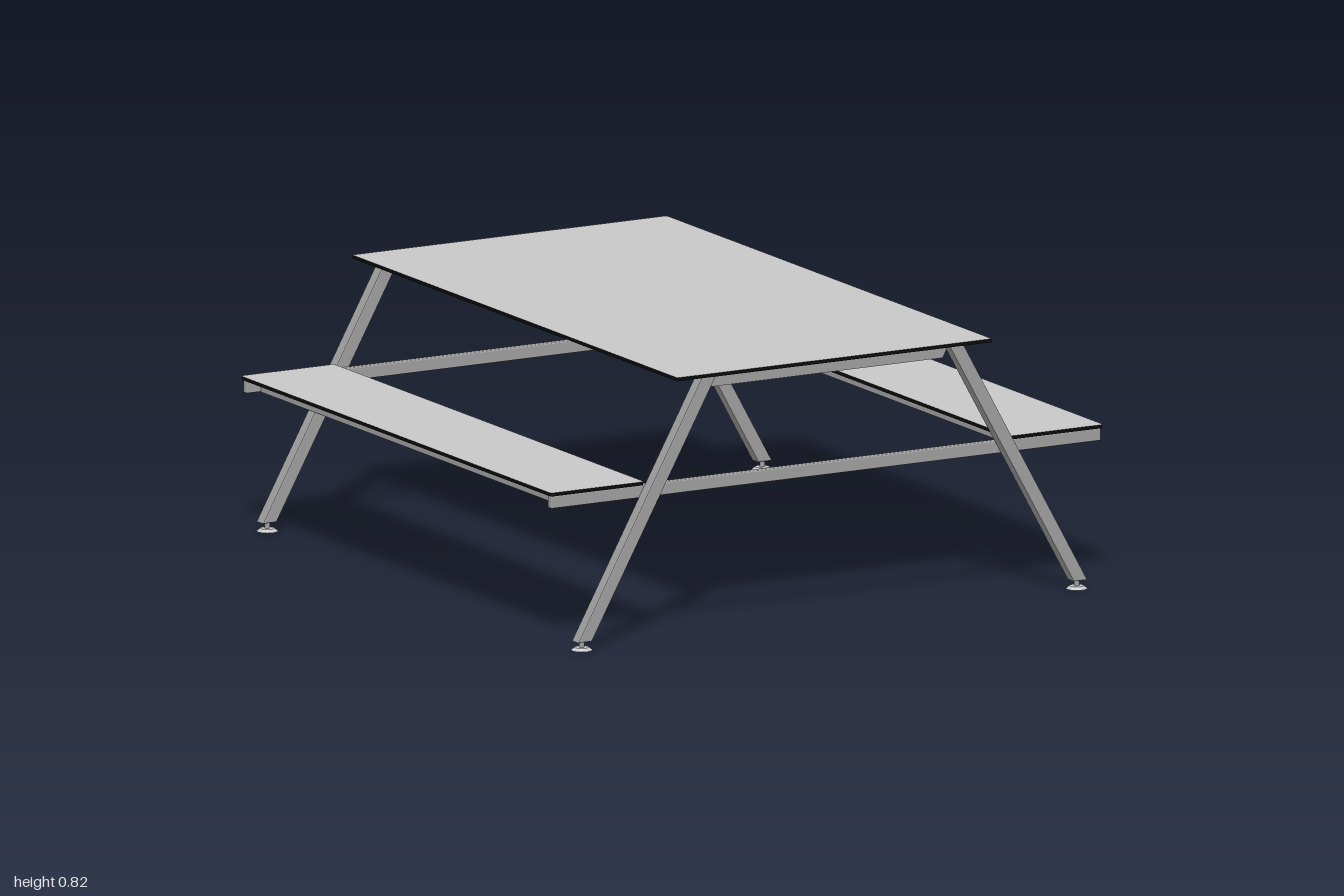
import * as THREE from 'three';
import { RoundedBoxGeometry } from 'three/addons/geometries/RoundedBoxGeometry.js';

const mat = (name, color) => {
  const m = new THREE.MeshStandardMaterial({ color });
  m.name = name;
  return m;
};

export function createModel() {
  const root = new THREE.Group();
  const panelGrey = mat('panel grey', 0xc8c8c8);
  const edgeBlack = mat('edge black', 0x0a0a0a);
  const frameGrey = mat('frame grey', 0xa0a0a0);

  const add = (name, geo, material, x = 0, y = 0, z = 0) => {
    const m = new THREE.Mesh(geo, material);
    m.name = name;
    m.position.set(x, y, z);
    root.add(m);
    return m;
  };

  // Thin laminate board: grey faces, black rim
  const board = (name, w, d, r, t, x, y) => {
    const a = w / 2, b = d / 2;
    const s = new THREE.Shape();
    s.moveTo(-a + r, -b);
    s.lineTo(a - r, -b); s.quadraticCurveTo(a, -b, a, -b + r);
    s.lineTo(a, b - r); s.quadraticCurveTo(a, b, a - r, b);
    s.lineTo(-a + r, b); s.quadraticCurveTo(-a, b, -a, b - r);
    s.lineTo(-a, -b + r); s.quadraticCurveTo(-a, -b, -a + r, -b);
    const g = new THREE.ExtrudeGeometry(s, { depth: t, bevelEnabled: false, curveSegments: 4 });
    g.rotateX(-Math.PI / 2);
    add(name, g, [panelGrey, edgeBlack], x, y, 0);
  };

  board('tableTop', 1.11, 2, 0.004, 0.011, 0, 0.813);
  for (const s of [-1, 1]) board('benchSeat', 0.33, 1.91, 0.014, 0.011, s * 0.81, 0.489);

  // Slanted leg, cut level at floor and table, with softened outer edges
  const leg = (side) => {
    const s = new THREE.Shape([
      [0.85, 0.028], [0.898, 0.028], [0.462, 0.813], [0.412, 0.813],
    ].map(([x, y]) => new THREE.Vector2(side * x, y)));
    const g = new THREE.ExtrudeGeometry(s, {
      depth: 0.034, bevelEnabled: true, bevelThickness: 0.004,
      bevelSize: 0.004, bevelOffset: -0.004, bevelSegments: 2,
    });
    return g.translate(0, 0, -0.017);
  };

  for (const end of [-1, 1]) {
    for (const side of [-1, 1]) {
      add('leg', leg(side), frameGrey, 0, 0, end * 0.97);
      // Levelling foot: stem and pad
      add('footStem', new THREE.CylinderGeometry(0.008, 0.008, 0.03, 12), frameGrey, side * 0.873, 0.02, end * 0.967);
      add('footPad', new THREE.CylinderGeometry(0.022, 0.033, 0.009, 24), panelGrey, side * 0.873, 0.0045, end * 0.967);
    }
    // Cross beams inside the legs
    add('benchCrossBeam', new RoundedBoxGeometry(1.94, 0.04, 0.024, 2, 0.004), frameGrey, 0, 0.469, end * 0.937);
    const top = new THREE.Shape([
      [-0.41, 0.77], [0.41, 0.77], [0.435, 0.813], [-0.435, 0.813],
    ].map(([x, y]) => new THREE.Vector2(x, y)));
    const topGeo = new THREE.ExtrudeGeometry(top, { depth: 0.024, bevelEnabled: false });
    add('tableCrossBeam', topGeo.translate(0, 0, -0.012), frameGrey, 0, 0, end * 0.937);
  }

  // Long rails with small fixing tabs under the boards
  const rail = (x, topY, tabDir) => {
    add('rail', new RoundedBoxGeometry(0.018, 0.042, 1.86, 2, 0.003), frameGrey, x, topY - 0.021, 0);
    for (const z of [-0.88, 0, 0.88]) {
      add('fixingTab', new THREE.BoxGeometry(0.034, 0.006, 0.024), frameGrey, x + tabDir * 0.022, topY - 0.003, z);
    }
  };
  for (const s of [-1, 1]) {
    rail(s * 0.71, 0.489, -s);
    rail(s * 0.91, 0.489, s);
    rail(s * 0.4, 0.813, -s);
  }
  return root;
}
